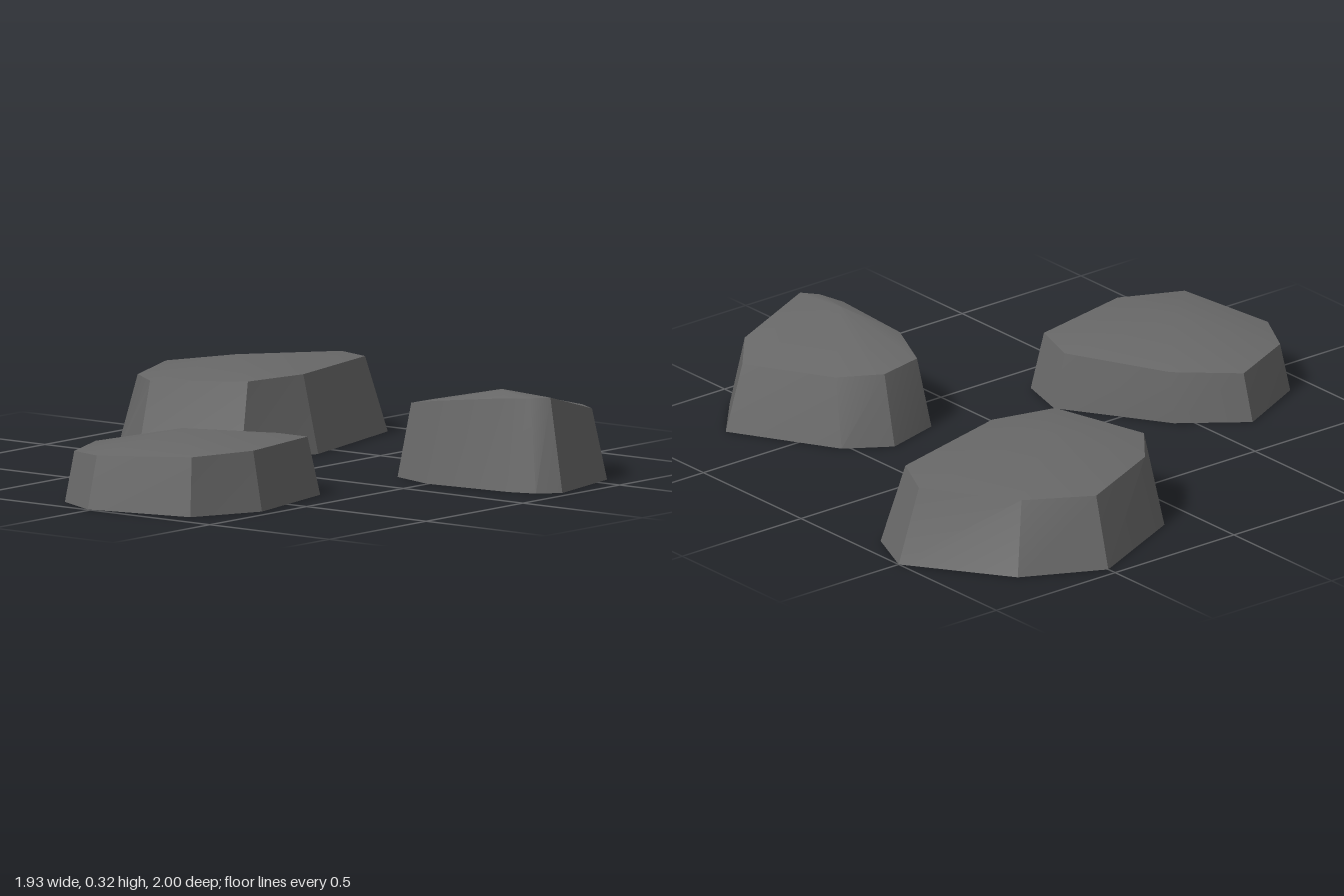
import * as THREE from 'three';
import { toCreasedNormals } from 'three/addons/utils/BufferGeometryUtils.js';

// Each rock: ground outline [x, z], rim [x, z, optional y], domed peak [x, y, z].
// A rim without its own heights lies on a plane tilted along x.
const rocks = [
  {
    name: 'largeRock',
    ground: [[-0.5, -1], [-0.31, -0.92], [-0.18, -0.4], [-0.26, -0.1], [-0.61, 0], [-0.79, -0.12], [-0.965, -0.5], [-0.83, -0.77]],
    rim: [[-0.5, -0.915], [-0.34, -0.84], [-0.23, -0.385], [-0.28, -0.16], [-0.6, -0.05], [-0.745, -0.165], [-0.885, -0.485], [-0.77, -0.705]],
    rimHeight: (x) => 0.23 + 0.045 * (x + 0.885),
    peak: [-0.5, 0.3, -0.38],
  },
  {
    name: 'frontRock',
    ground: [[0.195, 0.225], [0.375, 0.275], [0.455, 0.675], [0.35, 0.915], [-0.015, 0.995], [-0.175, 0.915], [-0.305, 0.65], [-0.15, 0.445]],
    rim: [[0.19, 0.265], [0.35, 0.31], [0.42, 0.677], [0.335, 0.89], [-0.005, 0.96], [-0.16, 0.885], [-0.265, 0.645], [-0.12, 0.455]],
    rimHeight: (x) => 0.16 + 0.054 * (x + 0.265),
    peak: [0.11, 0.24, 0.66],
  },
  {
    name: 'tallRock',
    ground: [[0.72, -0.725], [0.895, -0.565], [0.963, -0.25], [0.905, -0.185], [0.815, -0.155], [0.497, -0.127], [0.33, -0.18], [0.275, -0.38], [0.37, -0.525]],
    rim: [[0.72, -0.655, 0.22], [0.86, -0.53, 0.235], [0.905, -0.26, 0.307], [0.857, -0.217, 0.305], [0.77, -0.19, 0.3], [0.51, -0.165, 0.27], [0.355, -0.22, 0.242], [0.333, -0.375, 0.235], [0.43, -0.5, 0.225]],
    peak: [0.71, 0.318, -0.25],
  },
];

function rockGeometry({ ground, rim, rimHeight, peak }) {
  const n = ground.length;
  const low = ground.map(([x, z]) => [x, 0, z]);
  const high = rim.map(([x, z, y]) => [x, y ?? rimHeight(x), z]);
  const walls = [], dome = [];
  for (let i = 0; i < n; i++) {
    const j = (i + 1) % n;
    walls.push(low[i], high[i], low[j], low[j], high[i], high[j]);
    dome.push(high[i], peak, high[j]);
  }
  const geometry = new THREE.BufferGeometry();
  geometry.setAttribute('position', new THREE.Float32BufferAttribute([...walls, ...dome].flat(), 3));
  return toCreasedNormals(geometry, 0.45);
}

export function createModel() {
  const group = new THREE.Group();
  group.name = 'rocks';
  // The shells are open underneath, so both sides show
  const stone = new THREE.MeshStandardMaterial({ color: 0x686868, side: THREE.DoubleSide });
  stone.name = 'stone grey';
  for (const rock of rocks) {
    const mesh = new THREE.Mesh(rockGeometry(rock), stone);
    mesh.name = rock.name;
    group.add(mesh);
  }
  return group;
}
